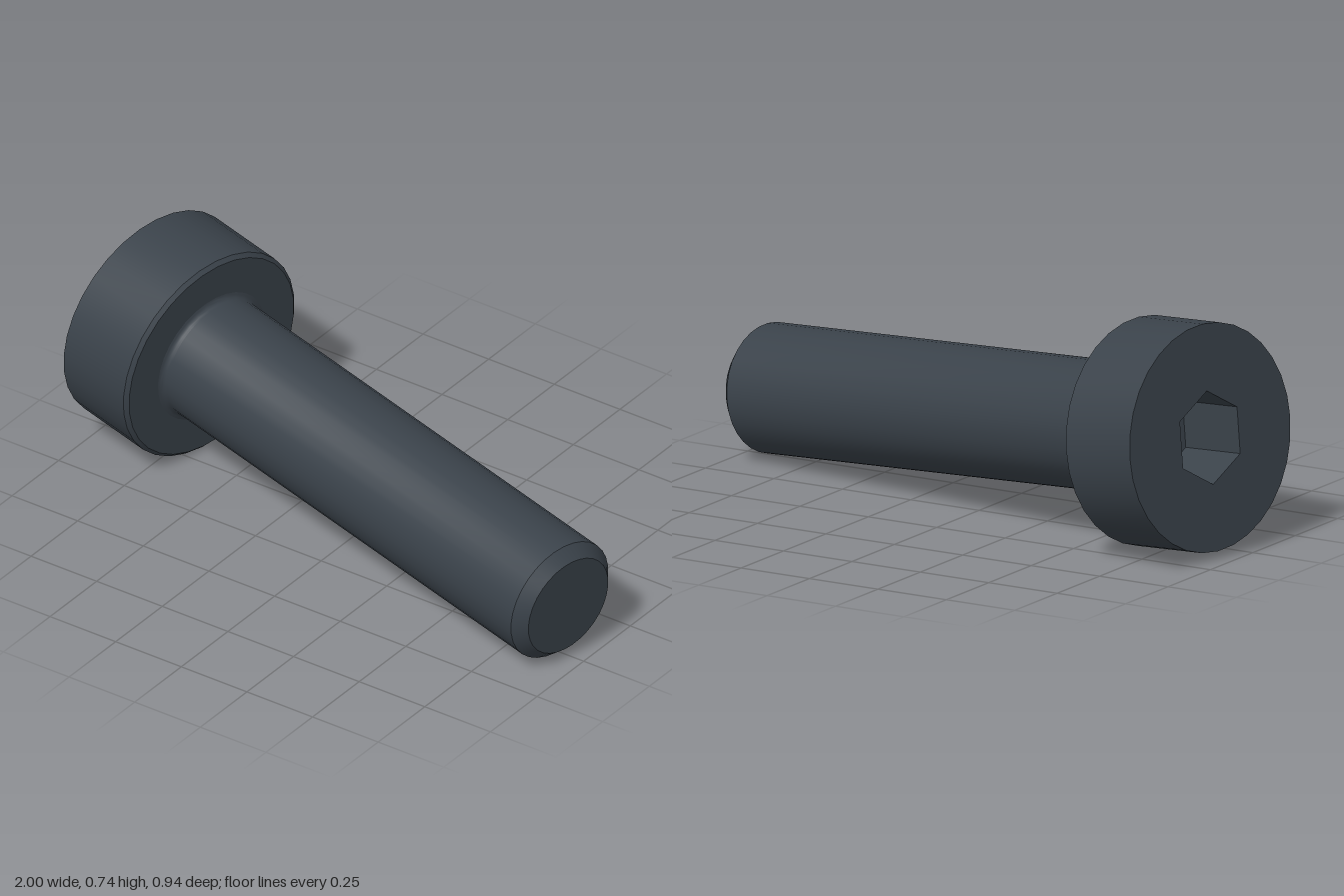
import * as THREE from 'three';
import { toCreasedNormals } from 'three/addons/utils/BufferGeometryUtils.js';

const SIDES = 32;
const LENGTH = 1.643;      // shaft length below the head
const HEAD_H = 0.287;
const HEAD_R = 0.36;
const SHAFT_R = 0.205;
const HEX_R = 0.148;       // socket corner radius
const HEX_DEPTH = 0.235;

const ring = (r, n) => Array.from({ length: n }, (_, i) => {
  const a = (i / n) * Math.PI * 2;
  return new THREE.Vector2(r * Math.sin(a), r * Math.cos(a));
});

export function createModel() {
  const model = new THREE.Group();
  model.name = 'socketHeadScrew';
  const steel = new THREE.MeshStandardMaterial({ color: 0x3a424a });
  steel.name = 'blackenedSteel';
  const screw = new THREE.Group();
  screw.name = 'screw';
  model.add(screw);

  const add = (name, geometry, y = 0) => {
    const mesh = new THREE.Mesh(geometry, steel);
    mesh.name = name;
    mesh.position.y = y;
    screw.add(mesh);
  };
  const lathe = (points) => toCreasedNormals(
    new THREE.LatheGeometry(points.map(([x, y]) => new THREE.Vector2(x, y)), SIDES), 0.5);

  // Shaft with chamfered tip and a small fillet under the head
  const fillet = 0.02;
  const shaft = [[0, -LENGTH], [0.168, -LENGTH], [SHAFT_R, -LENGTH + 0.04]];
  for (let i = 0; i <= 4; i++) {
    const a = (i / 4) * Math.PI / 2;
    shaft.push([SHAFT_R + fillet * (1 - Math.cos(a)), -fillet * (1 - Math.sin(a))]);
  }
  add('shaft', lathe(shaft));

  // Head underside, narrow chamfer and side wall
  add('head', lathe([[SHAFT_R + fillet, 0], [0.347, 0], [HEAD_R, 0.012], [HEAD_R, HEAD_H]]));

  // Head top face with hexagonal opening
  const face = new THREE.Shape(ring(HEAD_R, SIDES));
  face.holes.push(new THREE.Path(ring(HEX_R, 6)));
  add('headFace', new THREE.ShapeGeometry(face).rotateX(-Math.PI / 2), HEAD_H);

  // Socket walls face inwards: mirror the tube, which flips its winding
  const walls = new THREE.CylinderGeometry(HEX_R, HEX_R, HEX_DEPTH, 6, 1, true).toNonIndexed();
  const p = walls.attributes.position;
  for (let i = 0; i < p.count; i++) p.setX(i, -p.getX(i));
  walls.computeVertexNormals();
  add('socketWalls', walls, HEAD_H - HEX_DEPTH / 2);
  add('socketFloor', new THREE.ShapeGeometry(new THREE.Shape(ring(HEX_R, 6))).rotateX(-Math.PI / 2),
    HEAD_H - HEX_DEPTH);

  // Lay the screw down along its slanted axis
  const axis = new THREE.Vector3(-0.974, 0.0925, -0.2065).normalize();
  const side = new THREE.Vector3(0, 1, 0).cross(axis).normalize();
  const depth = side.clone().cross(axis);
  screw.quaternion.setFromRotationMatrix(new THREE.Matrix4().makeBasis(side, axis, depth));
  screw.position.set(0.962, 0.206, 0.279).addScaledVector(axis, LENGTH);
  return model;
}
